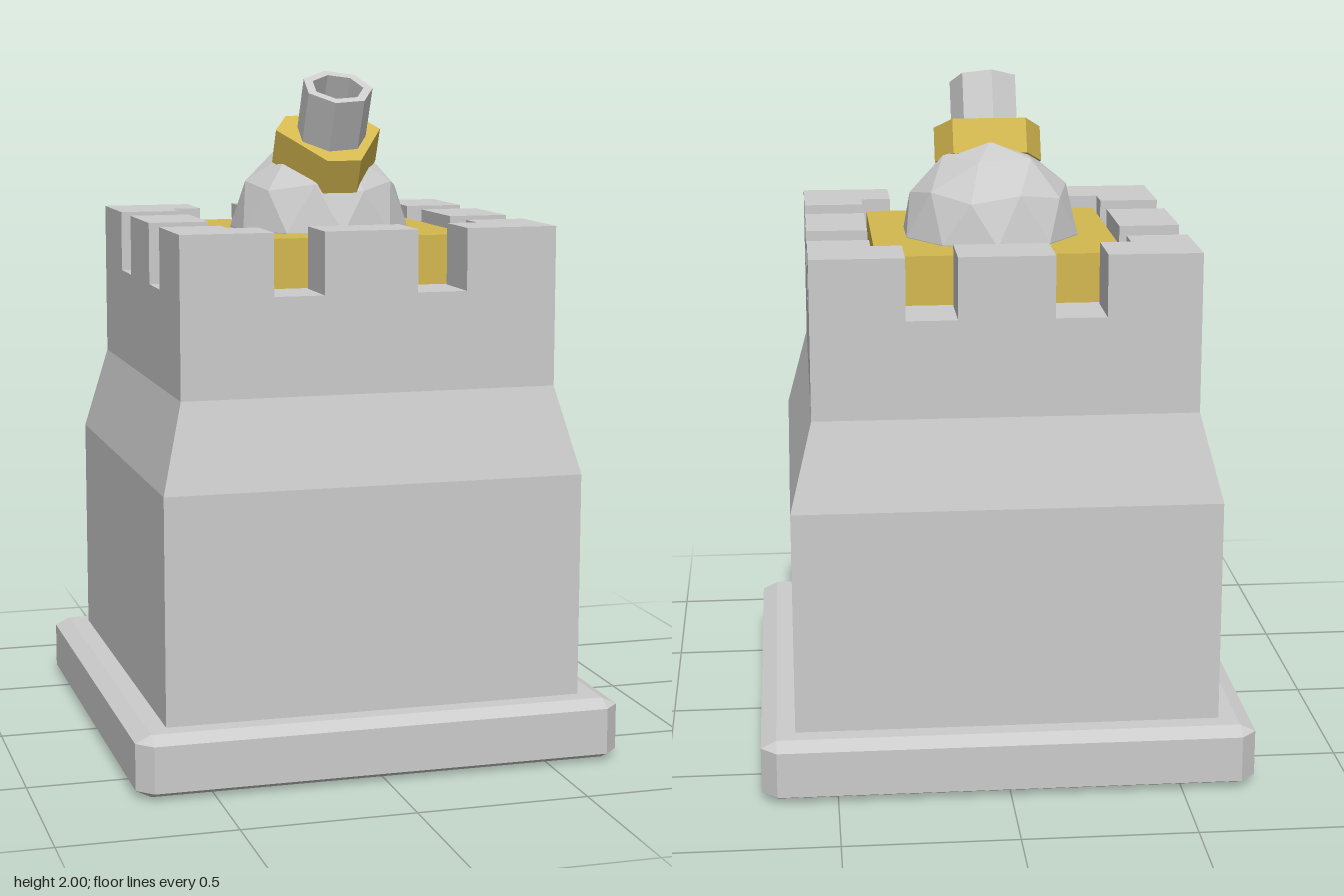
import * as THREE from 'three';
import { ConvexGeometry } from 'three/addons/geometries/ConvexGeometry.js';

const rad = THREE.MathUtils.degToRad;
const grey = new THREE.MeshStandardMaterial({ color: 0xcccccc, flatShading: true });
const gold = new THREE.MeshStandardMaterial({ color: 0xd4b84f, flatShading: true });
const dark = new THREE.MeshStandardMaterial({ color: 0x1c1c1c, flatShading: true });

function add(parent, name, geometry, material) {
  const mesh = new THREE.Mesh(geometry, material);
  mesh.name = name;
  parent.add(mesh);
  return mesh;
}

// Faceted solid of revolution from [radius, y] pairs
function lathe(pairs, sides, startDegrees) {
  const points = pairs.map(([r, y]) => new THREE.Vector2(r, y));
  return new THREE.LatheGeometry(points, sides, rad(startDegrees));
}

// Upright prism from an outline of [x, z] pairs
function prism(outline, y, height) {
  const shape = new THREE.Shape(outline.map(([x, z]) => new THREE.Vector2(x, -z)));
  const geometry = new THREE.ExtrudeGeometry(shape, { depth: height, bevelEnabled: false });
  return geometry.rotateX(-Math.PI / 2).translate(0, y, 0);
}

// Box with every edge cut by a single chamfer
function chamferedSlab(half, inset, y0, y1, bevel) {
  const points = [];
  const inner = half - inset;
  for (const sx of [-1, 1]) for (const sz of [-1, 1]) {
    for (const y of [y0, y1]) points.push(new THREE.Vector3(sx * inner, y, sz * inner));
    for (const y of [y0 + bevel, y1 - bevel]) {
      points.push(new THREE.Vector3(sx * half, y, sz * inner));
      points.push(new THREE.Vector3(sx * inner, y, sz * half));
    }
  }
  return new ConvexGeometry(points);
}

export function createModel() {
  const model = new THREE.Group();
  model.name = 'gunTower';

  add(model, 'base', chamferedSlab(0.72, 0.045, 0, 0.18, 0.022), grey);

  // Square tower with a sloped shoulder
  const R2 = Math.SQRT2;
  const profile = [[0.62, 0.17], [0.62, 0.84], [0.555, 1.095], [0.555, 1.38], [0, 1.38]];
  add(model, 'towerBody', lathe(profile.map(([r, y]) => [r * R2, y]), 4, 45), grey);

  // Battlements: one angled corner block and one straight block per side
  const outer = 0.555, inner = 0.375, gap = 0.285, mid = 0.138, floor = 1.38, rise = 0.18;
  const corner = prism([[outer, outer], [outer, gap], [inner, gap], [inner, inner],
    [gap, inner], [gap, outer]], floor, rise);
  const middle = prism([[-mid, outer], [mid, outer], [mid, inner], [-mid, inner]], floor, rise);
  const battlements = new THREE.Group();
  battlements.name = 'battlements';
  for (let i = 0; i < 4; i++) {
    add(battlements, 'cornerMerlon', corner, grey).rotation.y = i * Math.PI / 2;
    add(battlements, 'middleMerlon', middle, grey).rotation.y = i * Math.PI / 2;
  }
  model.add(battlements);

  // Raised deck inside the battlements
  add(model, 'deck', new THREE.BoxGeometry(0.72, 0.155, 0.72), gold).position.y = 1.4475;

  // Faceted dome, turned so that a five-sided vertex points up
  const turret = new THREE.Group();
  turret.name = 'turret';
  turret.position.y = 1.527;
  model.add(turret);
  const dome = new THREE.IcosahedronGeometry(0.27, 1);
  dome.rotateZ(-Math.atan(2 / (1 + Math.sqrt(5))));
  add(turret, 'dome', dome, grey);

  // Gun tilted forward about the dome centre
  const gun = new THREE.Group();
  gun.name = 'gun';
  gun.rotation.x = rad(26);
  turret.add(gun);

  // Collar: triangle with cut corners
  const collar = [18, 102, 138, 222, 258, 342].map((a) =>
    [0.165 * Math.sin(rad(a)), 0.165 * Math.cos(rad(a))]);
  add(gun, 'collar', prism(collar, 0.206, 0.108), gold);

  // Seven-sided hollow barrel with a dark bore
  add(gun, 'barrel', lathe([[0.105, 0.25], [0.105, 0.473], [0.077, 0.473], [0.077, 0.4]], 7, 34), grey);
  add(gun, 'bore', lathe([[0.077, 0.4], [0, 0.4]], 7, 34), dark);

  return model;
}
